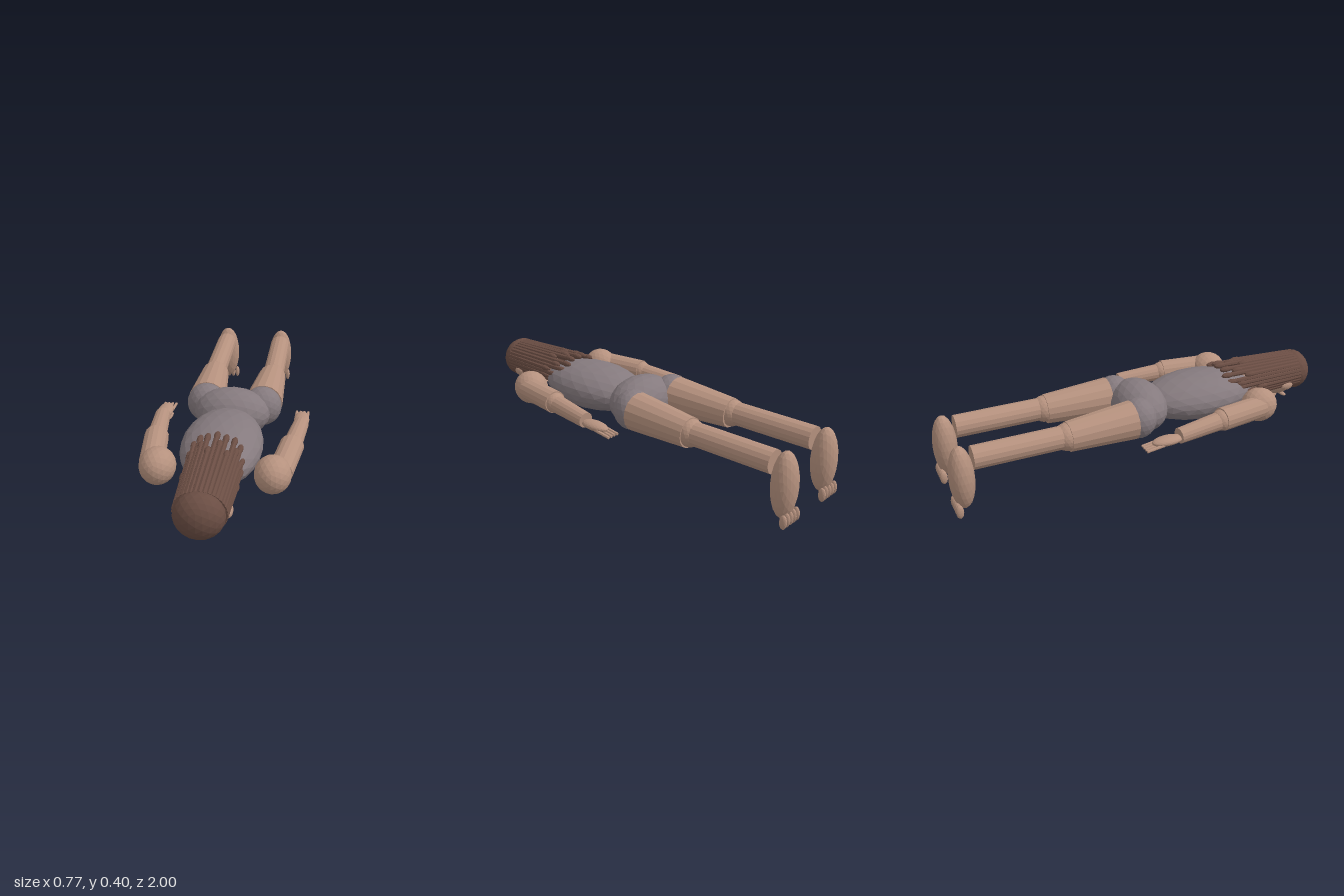
import * as THREE from 'three';

const skin = new THREE.MeshStandardMaterial({ color: 0xb5917e, flatShading: true, name: 'skin' });
const suit = new THREE.MeshStandardMaterial({ color: 0x857a7e, flatShading: true, name: 'greySuit' });
const hair = new THREE.MeshStandardMaterial({ color: 0x6a4d43, flatShading: true, name: 'brownHair' });

// Faceted ellipsoid at a centre with three radii
function blob(parent, name, mat, c, r, detail = 3) {
  const m = new THREE.Mesh(new THREE.IcosahedronGeometry(1, detail), mat);
  m.name = name;
  m.position.set(...c);
  m.scale.set(...r);
  parent.add(m);
  return m;
}

// Tapered cylinder running from a (radius ra) to b (radius rb)
function limb(parent, name, mat, a, b, ra, rb, sides = 16) {
  const p = new THREE.Vector3(...a), q = new THREE.Vector3(...b);
  const d = q.clone().sub(p);
  const m = new THREE.Mesh(new THREE.CylinderGeometry(rb, ra, d.length(), sides), mat);
  m.name = name;
  m.position.copy(p).add(q).multiplyScalar(0.5);
  m.quaternion.setFromUnitVectors(new THREE.Vector3(0, 1, 0), d.normalize());
  parent.add(m);
  return m;
}

function makeArm(s) {
  const g = new THREE.Group();
  g.name = s > 0 ? 'leftArm' : 'rightArm';
  blob(g, 'shoulder', skin, [s * 0.255, 0.26, 0.54], [0.083, 0.085, 0.092]);
  limb(g, 'upperArm', skin, [s * 0.284, 0.263, 0.53], [s * 0.318, 0.262, 0.285], 0.057, 0.057);
  blob(g, 'elbow', skin, [s * 0.318, 0.26, 0.285], [0.052, 0.052, 0.052]);
  limb(g, 'forearm', skin, [s * 0.32, 0.258, 0.27], [s * 0.345, 0.244, 0.04], 0.045, 0.038);
  blob(g, 'hand', skin, [s * 0.345, 0.235, -0.02], [0.038, 0.022, 0.08]);
  // Four fingers and a thumb
  for (let i = 0; i < 4; i++) {
    const x = s * (0.315 + i * 0.019);
    limb(g, 'finger', skin, [x, 0.228, -0.05], [x, 0.216, -0.138], 0.008, 0.007, 8);
  }
  blob(g, 'thumb', skin, [s * 0.32, 0.207, -0.02], [0.011, 0.012, 0.055], 1).rotation.x = -0.15;
  return g;
}

function makeLeg(s) {
  const g = new THREE.Group();
  g.name = s > 0 ? 'leftLeg' : 'rightLeg';
  blob(g, 'hipJoint', suit, [s * 0.142, 0.27, -0.075], [0.098, 0.1, 0.09]);
  limb(g, 'thigh', skin, [s * 0.145, 0.268, -0.11], [s * 0.157, 0.261, -0.44], 0.096, 0.073);
  blob(g, 'knee', skin, [s * 0.159, 0.263, -0.445], [0.066, 0.066, 0.062]);
  limb(g, 'shin', skin, [s * 0.16, 0.265, -0.43], [s * 0.16, 0.265, -0.888], 0.056, 0.055);
  blob(g, 'foot', skin, [s * 0.16, 0.178, -0.942], [0.066, 0.156, 0.058]);
  // Five toes
  for (let i = 0; i < 5; i++) {
    blob(g, 'toe', skin, [s * (0.108 + i * 0.025), 0.034, -0.976], [0.012, 0.034, 0.018], 2);
  }
  return g;
}

function makeHead() {
  const g = new THREE.Group();
  g.name = 'head';
  limb(g, 'neck', skin, [0, 0.27, 0.55], [0, 0.275, 0.74], 0.058, 0.055);
  blob(g, 'skull', skin, [0, 0.265, 0.815], [0.1, 0.1, 0.12]);
  blob(g, 'hairCap', hair, [0, 0.284, 0.915], [0.108, 0.104, 0.083]);
  // Facial features on the underside
  blob(g, 'nose', skin, [0, 0.152, 0.79], [0.021, 0.022, 0.042], 2);
  blob(g, 'mouth', skin, [0, 0.172, 0.745], [0.05, 0.009, 0.014], 2);
  for (const s of [-1, 1]) {
    blob(g, 'brow', skin, [s * 0.041, 0.171, 0.835], [0.036, 0.009, 0.014], 2);
    blob(g, 'ear', skin, [s * 0.104, 0.245, 0.815], [0.018, 0.025, 0.038], 2);
  }
  return g;
}

// Ring of braids over the back of the head, each ending in a bead-like tuft
function makeBraids() {
  const g = new THREE.Group();
  g.name = 'braids';
  const n = 23;
  for (let i = 0; i < n; i++) {
    const t = Math.PI * (-0.12 + 1.24 * i / (n - 1));
    const c = Math.cos(t), v = Math.sin(t);
    const z = [0.59, 0.47, 0.53, 0.46][i % 4] + (v < 0.3 ? 0.06 : 0);
    const start = [c * 0.1, 0.284 + v * 0.088, 0.9];
    const end = [c * 0.118, 0.285 + v * 0.1, z];
    limb(g, 'braid', hair, start, end, 0.015, 0.012, 8);
    blob(g, 'braidTip', hair, end, [0.015, 0.015, 0.034], 1);
  }
  return g;
}

export function createModel() {
  const model = new THREE.Group();
  model.name = 'lyingFigure';
  // Trunk
  blob(model, 'torso', suit, [0, 0.26, 0.33], [0.19, 0.115, 0.31]);
  blob(model, 'pelvis', suit, [0, 0.263, -0.005], [0.19, 0.122, 0.132]);
  model.add(makeHead(), makeBraids());
  for (const s of [-1, 1]) model.add(makeArm(s), makeLeg(s));
  return model;
}
